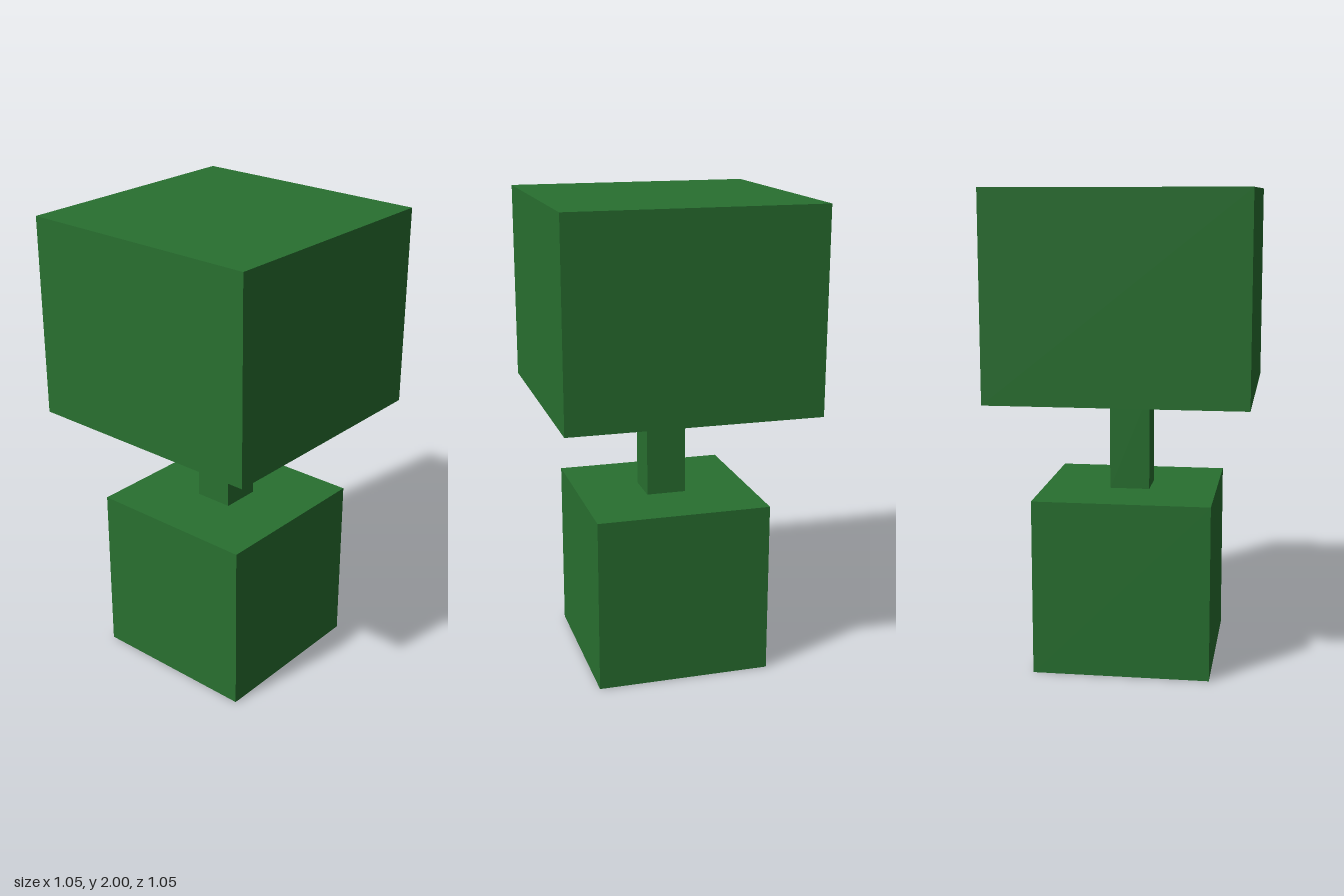
import * as THREE from 'three';

export function createModel() {
  const group = new THREE.Group();
  const material = new THREE.MeshStandardMaterial({ color: 0x287030 });

  // Square block of the given width, spanning bottom to top
  const addBlock = (name, width, bottom, top) => {
    const mesh = new THREE.Mesh(new THREE.BoxGeometry(width, top - bottom, width), material);
    mesh.name = name;
    mesh.position.y = (bottom + top) / 2;
    group.add(mesh);
  };

  addBlock('base', 0.737, 0, 0.737);
  addBlock('stem', 0.168, 0.737, 1.158);
  addBlock('crown', 1.053, 1.158, 2);

  return group;
}
